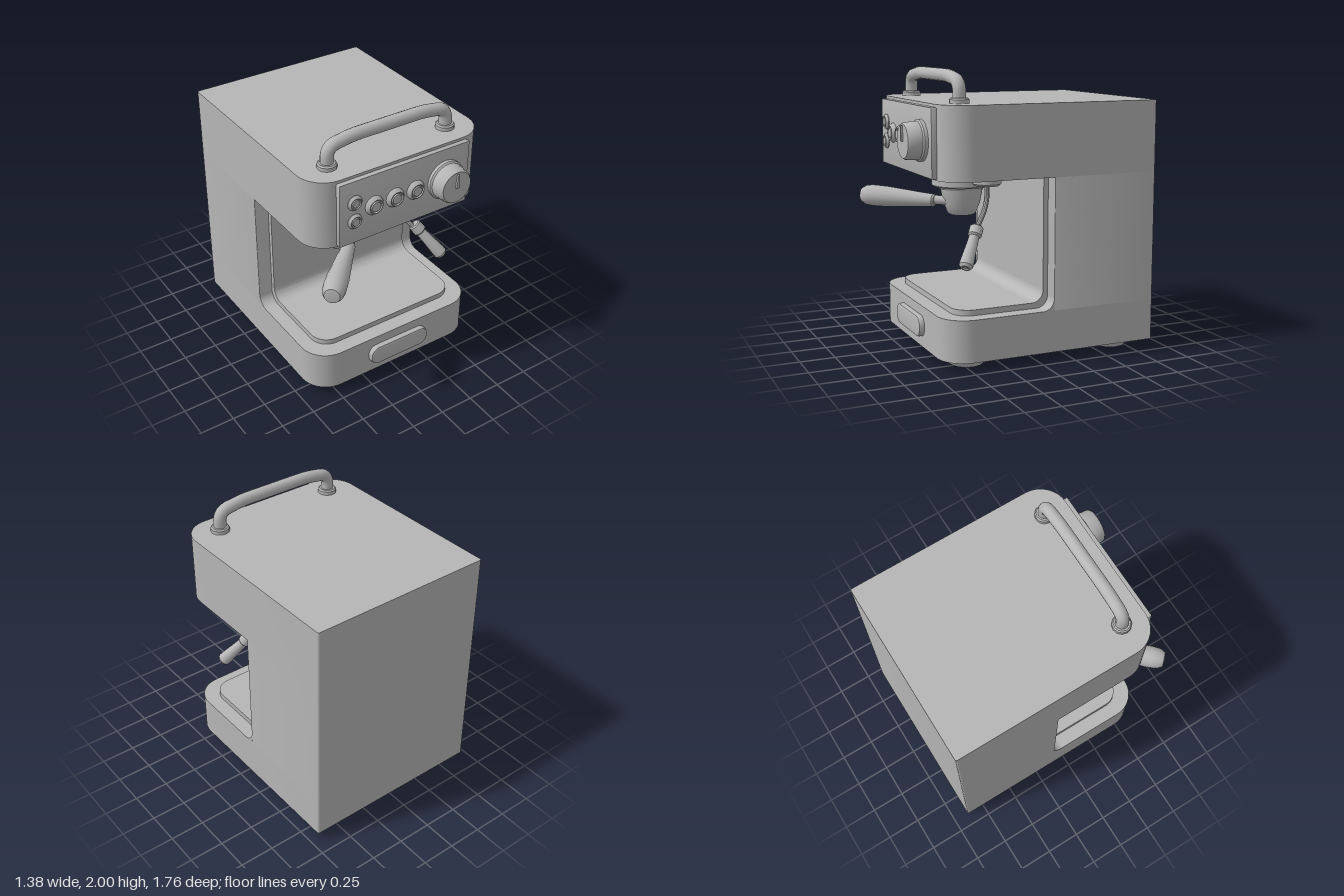
import * as THREE from 'three';
import { toCreasedNormals } from 'three/addons/utils/BufferGeometryUtils.js';

const metal = new THREE.MeshStandardMaterial({ color: 0xb6b6b6 });
metal.name = 'brushed grey';
const V = (x, y, z) => new THREE.Vector3(x, y, z);
const CX = 0.0125; // middle of the body

export function createModel() {
  const model = new THREE.Group();
  model.name = 'espressoMachine';

  const add = (name, geometry, parent = model, crease = 0.6) => {
    const mesh = new THREE.Mesh(toCreasedNormals(geometry, crease), metal);
    mesh.name = name;
    parent.add(mesh);
    return mesh;
  };

  // Rectangle with separate radii for the lower and upper corners
  const roundRect = (x0, x1, y0, y1, rLow, rHigh) => {
    const s = new THREE.Shape();
    s.moveTo(x0 + rLow, y0);
    s.lineTo(x1 - rLow, y0);
    s.absarc(x1 - rLow, y0 + rLow, rLow, -Math.PI / 2, 0);
    s.lineTo(x1, y1 - rHigh);
    s.absarc(x1 - rHigh, y1 - rHigh, rHigh, 0, Math.PI / 2);
    s.lineTo(x0 + rHigh, y1);
    s.absarc(x0 + rHigh, y1 - rHigh, rHigh, Math.PI / 2, Math.PI);
    s.lineTo(x0, y0 + rLow);
    s.absarc(x0 + rLow, y0 + rLow, rLow, Math.PI, Math.PI * 1.5);
    return s;
  };

  // Horizontal slab: front corners rounded by rFront, back corners by rBack
  const slab = (name, x0, x1, z0, z1, y0, y1, rFront, rBack) => {
    const g = new THREE.ExtrudeGeometry(roundRect(x0, x1, -z1, -z0, rFront, rBack),
      { depth: y1 - y0, bevelEnabled: false, curveSegments: 6 });
    g.rotateX(-Math.PI / 2);
    g.translate(0, y0, 0);
    return add(name, g);
  };

  // Plate facing the front, with a small bevel
  const plate = (name, x0, x1, y0, y1, z0, z1, r, bevel) => {
    const g = new THREE.ExtrudeGeometry(
      roundRect(x0 + bevel, x1 - bevel, y0 + bevel, y1 - bevel, r - bevel, r - bevel),
      { depth: z1 - z0 - bevel, bevelSize: bevel, bevelThickness: bevel, bevelSegments: 2, curveSegments: 8 });
    g.translate(0, 0, z0);
    return add(name, g);
  };

  // Turned part from [radius, distance] pairs, placed at a point along an axis
  const turned = (name, profile, at, axis, sides = 20, parent = model) => {
    const g = new THREE.LatheGeometry(profile.map(([r, h]) => new THREE.Vector2(r, h)), sides);
    g.applyQuaternion(new THREE.Quaternion().setFromUnitVectors(V(0, 1, 0), axis.clone().normalize()));
    g.translate(at.x, at.y, at.z);
    return add(name, g, parent);
  };
  const UP = V(0, 1, 0), FRONT = V(0, 0, 1);

  // Housing: base, rear column and overhanging head
  slab('base', -0.675, 0.7, -0.89, 0.68, 0.065, 0.36, 0.2, 0.012);
  slab('rearColumn', -0.675, 0.7, -0.89, -0.105, 0.36, 1.28, 0.001, 0.012);
  slab('head', -0.675, 0.7, -0.89, 0.68, 1.28, 1.78, 0.2, 0.012);

  // Concave corner strip between an upright wall and a floor
  const cove = (name, x0, x1, z, y, r) => {
    const s = new THREE.Shape();
    s.moveTo(-z, y);
    s.lineTo(-z - r, y);
    s.absarc(-z - r, y + r, r, -Math.PI / 2, 0);
    s.lineTo(-z, y);
    const g = new THREE.ExtrudeGeometry(s, { depth: x1 - x0, bevelEnabled: false, curveSegments: 8 });
    g.rotateY(Math.PI / 2);
    g.translate(x0, 0, 0);
    return add(name, g);
  };
  cove('columnCove', -0.675, 0.7, -0.105, 0.36, 0.085);

  // Recess lining and drip tray
  slab('dripTray', -0.57, 0.595, -0.1, 0.57, 0.355, 0.4, 0.13, 0.001);
  add('backLining', new THREE.BoxGeometry(1.165, 0.92, 0.04).translate(CX, 0.82, -0.09));
  cove('trayCove', -0.57, 0.595, -0.07, 0.4, 0.085);

  // Front badge plate on the base
  plate('trayGrip', -0.235, 0.26, 0.14, 0.29, 0.67, 0.72, 0.068, 0.015);

  // Feet
  for (const x of [-0.455, 0.475]) for (const z of [0.455, -0.665])
    turned('foot', [[0, 0], [0.115, 0], [0.125, 0.008], [0.15, 0.068], [0, 0.068]], V(x, 0, z), UP, 12);

  // Control panel with buttons and dial
  plate('controlPanel', -0.505, 0.53, 1.29, 1.76, 0.67, 0.715, 0.008, 0.005);
  const button = (x, y, r, h) => turned('button',
    [[r, 0], [r, h * 0.3], [r * 0.9, h * 0.6], [r * 0.75, h], [r * 0.68, h],
      [r * 0.64, h * 0.65], [r * 0.54, h * 0.65], [r * 0.5, h], [0, h]],
    V(x, y, 0.712), FRONT, 16);
  for (const x of [-0.24, -0.075, 0.09]) button(x, 1.53, 0.07, 0.034);
  for (const y of [1.6, 1.46]) button(-0.39, y, 0.055, 0.025);
  turned('dial', [[0.143, 0], [0.143, 0.025], [0.132, 0.035], [0.124, 0.12], [0.115, 0.132], [0, 0.132]],
    V(0.335, 1.53, 0.713), FRONT, 24);
  const needle = new THREE.Shape([[-0.013, 0], [0.013, 0], [0.003, 0.105], [-0.003, 0.105]]
    .map(([x, y]) => new THREE.Vector2(x, y)));
  add('dialPointer', new THREE.ExtrudeGeometry(needle, { depth: 0.016, bevelEnabled: false })
    .translate(0.335, 1.53, 0.843));

  // Top handle on two collars
  const handle = new THREE.CurvePath();
  const bar = [V(-0.46, 1.8, 0.5), V(-0.46, 1.845, 0.5), V(-0.36, 1.94, 0.5), V(-0.2, 1.955, 0.5),
    V(0.225, 1.955, 0.5), V(0.385, 1.94, 0.5), V(0.485, 1.845, 0.5), V(0.485, 1.8, 0.5)];
  handle.add(new THREE.LineCurve3(bar[0], bar[1]));
  handle.add(new THREE.CubicBezierCurve3(bar[1], V(-0.46, 1.91, 0.5), V(-0.43, 1.933, 0.5), bar[2]));
  handle.add(new THREE.QuadraticBezierCurve3(bar[2], V(-0.28, 1.955, 0.5), bar[3]));
  handle.add(new THREE.LineCurve3(bar[3], bar[4]));
  handle.add(new THREE.QuadraticBezierCurve3(bar[4], V(0.305, 1.955, 0.5), bar[5]));
  handle.add(new THREE.CubicBezierCurve3(bar[5], V(0.455, 1.933, 0.5), V(0.485, 1.91, 0.5), bar[6]));
  handle.add(new THREE.LineCurve3(bar[6], bar[7]));
  add('topHandle', new THREE.TubeGeometry(handle, 60, 0.045, 14));
  for (const x of [-0.46, 0.485])
    turned('handleCollar', [[0.067, 0], [0.067, 0.028], [0.058, 0.038], [0, 0.038]], V(x, 1.778, 0.5), UP, 12);

  // Brew group and filter holder
  turned('brewGroup', [[0, 1.11], [0.165, 1.11], [0.175, 1.125], [0.21, 1.13], [0.219, 1.14], [0.219, 1.285]],
    V(-0.18, 0, 0.22), UP, 24);
  turned('filterBasket', [[0, 0.918], [0.09, 0.918], [0.105, 0.928], [0.135, 1.0], [0.155, 1.1], [0.158, 1.12]],
    V(-0.175, 0, 0.22), UP, 20);
  const grip = V(-0.42, 0.015, 0.43);
  turned('filterNeck', [[0.034, 0], [0.034, 0.2]], V(-0.17, 1.022, 0.33), grip, 14);
  turned('filterHandle', [[0, 0], [0.038, 0], [0.048, 0.012], [0.053, 0.1], [0.066, 0.25], [0.078, 0.4],
    [0.08, 0.5], [0.074, 0.555], [0.055, 0.59], [0, 0.598]], V(-0.23, 1.02, 0.41), grip, 16);

  // Steam wand
  const wand = new THREE.Group();
  wand.name = 'steamWand';
  model.add(wand);
  turned('wandMount', [[0, 1.19], [0.088, 1.19], [0.102, 1.205], [0.102, 1.285]], V(0.282, 0, 0.215), UP, 20, wand);
  const pipe = new THREE.CatmullRomCurve3([V(0.282, 1.2, 0.215), V(0.283, 1.1, 0.217),
    V(0.305, 1.02, 0.245), V(0.35, 0.95, 0.3), V(0.4, 0.885, 0.355)]);
  add('wandPipe', new THREE.TubeGeometry(pipe, 24, 0.018, 10), wand);
  const down = V(0.155, -0.24, 0.15);
  turned('wandCollar', [[0, 0], [0.04, 0], [0.048, 0.01], [0.048, 0.07], [0.036, 0.082], [0, 0.082]],
    V(0.388, 0.925, 0.335), down, 14, wand);
  turned('wandGrip', [[0.036, 0], [0.04, 0.08], [0.049, 0.2], [0.049, 0.23], [0.034, 0.25], [0.022, 0.25],
    [0.018, 0.24], [0, 0.24]], V(0.425, 0.865, 0.372), down, 14, wand);

  return model;
}
